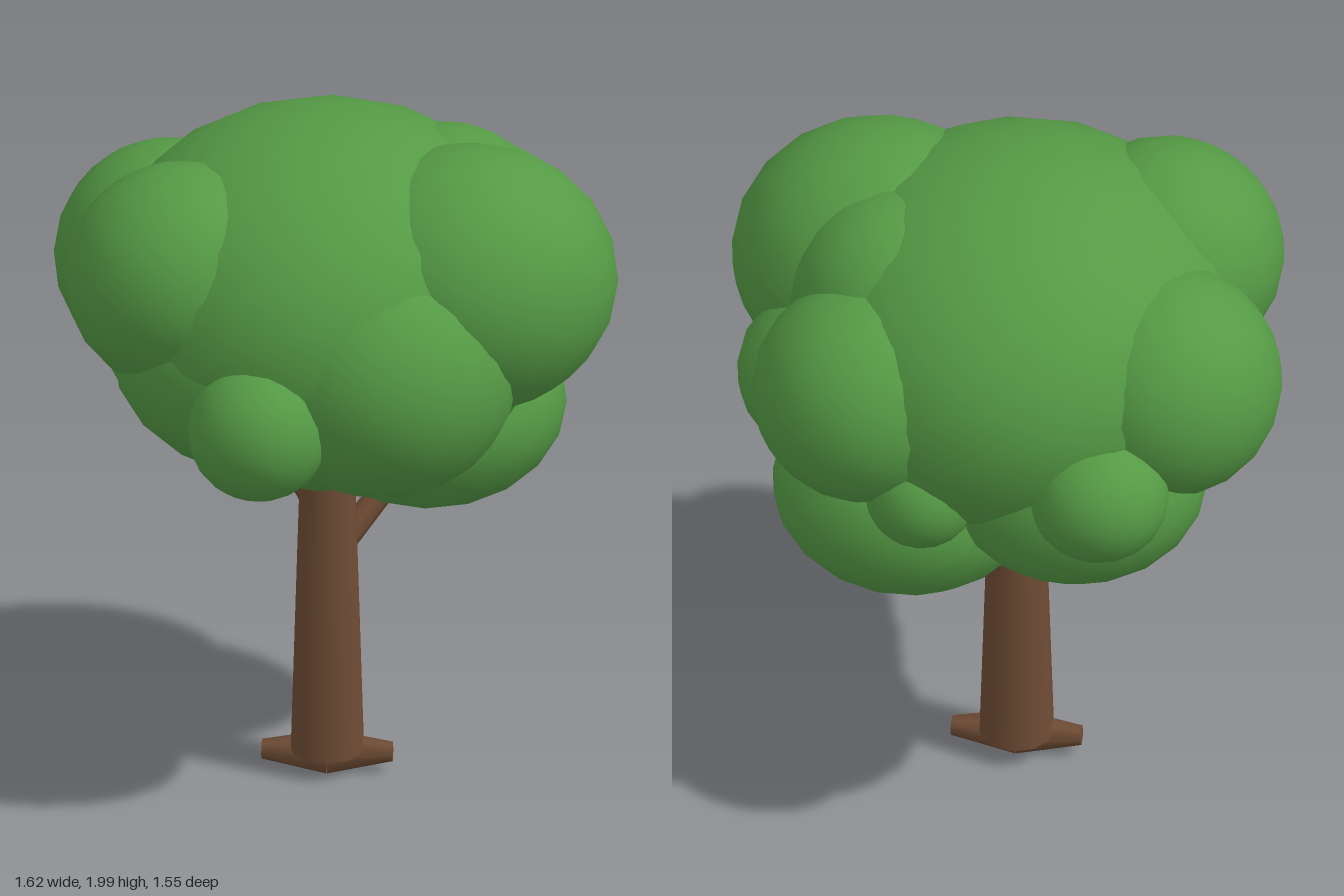
import * as THREE from 'three';

export function createModel() {
  const tree = new THREE.Group();
  tree.name = 'tree';

  const leafGreen = new THREE.MeshStandardMaterial({ color: 0x559a45 });
  leafGreen.name = 'leafGreen';
  const barkBrown = new THREE.MeshStandardMaterial({ color: 0x6f4c35 });
  barkBrown.name = 'barkBrown';

  // Tapered limb between two points
  function limb(name, from, to, r0, r1, sides) {
    const a = new THREE.Vector3(...from);
    const b = new THREE.Vector3(...to);
    const dir = b.clone().sub(a);
    const mesh = new THREE.Mesh(new THREE.CylinderGeometry(r1, r0, dir.length(), sides), barkBrown);
    mesh.name = name;
    mesh.position.copy(a).add(b).multiplyScalar(0.5);
    mesh.quaternion.setFromUnitVectors(new THREE.Vector3(0, 1, 0), dir.normalize());
    tree.add(mesh);
  }

  // Trunk, branches and the two roots
  limb('trunk', [-0.025, 0.07, -0.037], [-0.025, 1.25, -0.037], 0.107, 0.07, 10);
  limb('leftBranch', [0, 0.67, -0.07], [0.24, 0.95, -0.22], 0.04, 0.03, 8);
  limb('rightBranch', [-0.03, 0.77, -0.05], [-0.22, 1.05, -0.14], 0.04, 0.03, 8);
  limb('leftRoot', [-0.025, 0.063, -0.035], [0.16, 0.067, -0.035], 0.063, 0.028, 6);
  limb('rightRoot', [-0.025, 0.063, -0.035], [-0.21, 0.067, -0.035], 0.063, 0.028, 6);

  // Foliage clumps: name, centre, radii
  const clumps = [
    ['crown', [-0.03, 1.465, -0.03], [0.66, 0.535, 0.69]],
    ['frontLeftLargeClump', [0.385, 1.58, 0.11], [0.42, 0.38, 0.41]],
    ['frontClump', [0.15, 1.385, 0.33], [0.385, 0.365, 0.38]],
    ['frontLowerClump', [-0.12, 1.38, 0.2], [0.5, 0.36, 0.42]],
    ['frontSmallClump', [-0.185, 1.29, 0.575], [0.2, 0.2, 0.2]],
    ['frontRightClump', [-0.42, 1.6, 0.19], [0.335, 0.325, 0.345]],
    ['backRightClump', [-0.48, 1.48, -0.26], [0.33, 0.33, 0.34]],
    ['backRightLowerClump', [-0.23, 1.2, -0.34], [0.38, 0.31, 0.35]],
    ['backRightSmallClump', [-0.33, 1.29, -0.575], [0.2, 0.19, 0.2]],
    ['backLeftClump', [0.36, 1.46, -0.39], [0.32, 0.32, 0.325]],
    ['leftClump', [0.38, 1.4, -0.22], [0.365, 0.27, 0.34]],
    ['leftUpperClump', [0.3, 1.62, -0.14], [0.31, 0.31, 0.31]],
    ['backLeftLowerClump', [0.25, 1.06, -0.25], [0.39, 0.3, 0.38]],
    ['backLeftSmallClump', [0.18, 1.22, -0.53], [0.16, 0.16, 0.16]],
  ];
  const foliage = new THREE.Group();
  foliage.name = 'foliage';
  const ball = new THREE.IcosahedronGeometry(1, 3);
  for (const [name, centre, radii] of clumps) {
    const mesh = new THREE.Mesh(ball, leafGreen);
    mesh.name = name;
    mesh.position.set(...centre);
    mesh.scale.set(...radii);
    foliage.add(mesh);
  }
  tree.add(foliage);

  return tree;
}
